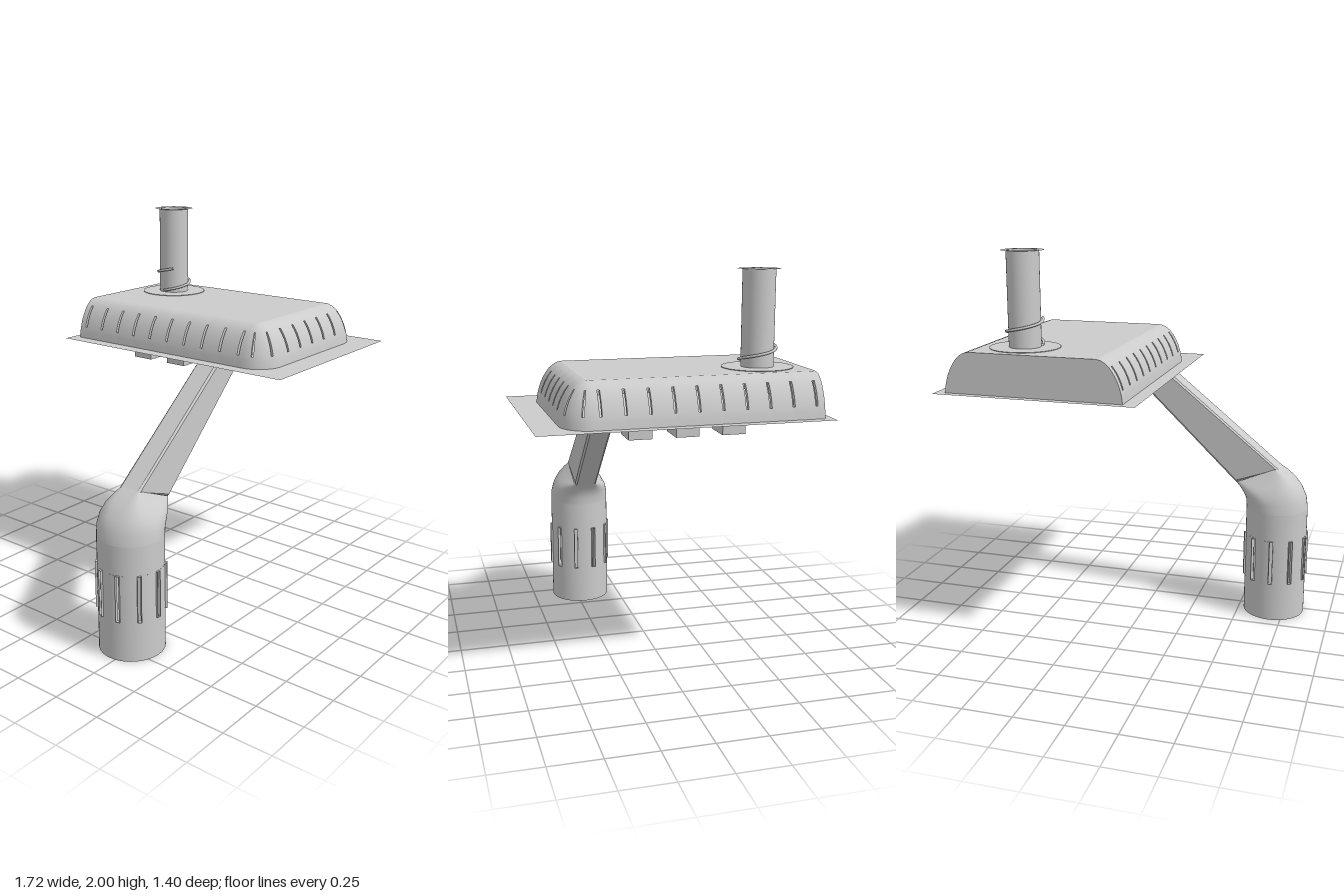
import * as THREE from 'three';

const mat = new THREE.MeshStandardMaterial({ color: 0xcccccc, side: THREE.DoubleSide });

function add(parent, name, geo, x = 0, y = 0, z = 0) {
  const mesh = new THREE.Mesh(geo, mat);
  mesh.name = name;
  mesh.position.set(x, y, z);
  parent.add(mesh);
  return mesh;
}

function meshFrom(pos, index) {
  const g = new THREE.BufferGeometry();
  g.setAttribute('position', new THREE.Float32BufferAttribute(pos, 3));
  g.setIndex(index);
  g.computeVertexNormals();
  return g;
}

const tube = (r, h, start = 0, len = Math.PI * 2, seg = 48) =>
  new THREE.CylinderGeometry(r, r, h, seg, 1, true, start, len);

// Hollow rectangular collar lining a slot, open along z
function slotFrame(w, h, depth) {
  const rect = (T, a, b) => new T([[-a, -b], [a, -b], [a, b], [-a, b]].map(p => new THREE.Vector2(...p)));
  const s = rect(THREE.Shape, w / 2, h / 2);
  s.holes.push(rect(THREE.Path, w / 2 - 0.002, h / 2 - 0.002));
  return new THREE.ExtrudeGeometry(s, { depth, bevelEnabled: false });
}

// Vertical pipe with ten see-through slots
function buildPost() {
  const post = new THREE.Group();
  post.name = 'post';
  post.position.set(-0.69, 0, 0.22);
  const R = 0.165, n = 10, step = Math.PI * 2 / n, half = 0.055;
  add(post, 'postLower', tube(R, 0.21), 0, 0.105, 0);
  add(post, 'postUpper', tube(R, 0.15), 0, 0.525, 0);
  for (let i = 0; i < n; i++) {
    const a = i * step;
    add(post, 'postWall', tube(R, 0.24, a + half, step - 2 * half, 6), 0, 0.33, 0);
    const f = add(post, 'slotCollar', slotFrame(0.021, 0.242, 0.022), Math.sin(a) * 0.153, 0.33, Math.cos(a) * 0.153);
    f.rotation.y = a;
  }
  return post;
}

// Elbow: round pipe blending into the narrow arm
function elbowGeometry() {
  const outer = [[-0.855, 0.6], [-0.847, 0.66], [-0.82, 0.715], [-0.78, 0.762], [-0.735, 0.798], [-0.69, 0.828]];
  const inner = [[-0.525, 0.6], [-0.523, 0.64], [-0.515, 0.67], [-0.503, 0.695], [-0.488, 0.717], [-0.47, 0.735]];
  const width = [0.165, 0.162, 0.15, 0.125, 0.092, 0.063];
  const power = [1, 0.95, 0.82, 0.62, 0.4, 0.2];
  const N = 48, pos = [], idx = [];
  const spow = (v, p) => Math.sign(v) * Math.pow(Math.abs(v) < 1e-9 ? 0 : Math.abs(v), p);
  outer.forEach(([ox, oy], k) => {
    const [ix, iy] = inner[k];
    for (let j = 0; j < N; j++) {
      const a = j / N * Math.PI * 2;
      const c = spow(Math.cos(a), power[k]), s = spow(Math.sin(a), power[k]);
      pos.push((ox + ix) / 2 + (ox - ix) / 2 * c, (oy + iy) / 2 + (oy - iy) / 2 * c, 0.22 + width[k] * s);
      if (k < outer.length - 1) {
        const A = k * N + j, B = k * N + (j + 1) % N;
        idx.push(A, B, B + N, A, B + N, A + N);
      }
    }
  });
  return meshFrom(pos, idx);
}

// Slanted arm with narrow chamfers
function armGeometry() {
  const s = new THREE.Shape([[-0.7, 0.82], [-0.47, 0.735], [0.08, 1.267], [0.08, 1.325], [-0.08, 1.325]]
    .map(p => new THREE.Vector2(...p)));
  return new THREE.ExtrudeGeometry(s, {
    depth: 0.104, bevelThickness: 0.01, bevelSize: 0.01, bevelOffset: -0.01, bevelSegments: 1
  });
}

// Rounded cover: profile swept round three sides, slots left open, flat back
function buildCover() {
  const cover = new THREE.Group();
  cover.name = 'cover';
  const R = 0.14, x0 = 0.05, x1 = 0.67, zf = 0.43, zb = -0.66, h = 0.006;
  const profile = [[0, 1.325], [0.004, 1.36], [0.01, 1.385], [0.019, 1.415], [0.032, 1.445], [0.046, 1.47],
    [0.064, 1.495], [0.085, 1.514], [0.105, 1.525], [0.125, 1.53]];
  const slotRow = i => i >= 2 && i < 6;

  // Stations: core point, outward angle, whether a slot starts here
  const st = [];
  const put = (x, z, a, slot = false) => st.push({ x, z, nx: Math.sin(a), nz: Math.cos(a), slot });
  const sideZ = Array.from({ length: 10 }, (_, i) => -0.62 + i * 0.1135);
  const frontX = [0.13, 0.245, 0.36, 0.475, 0.59];
  const corner = (x, from) => {
    for (let i = 0; i <= 12; i++) {
      const a = from - i * Math.PI / 24;
      if (i === 3 || i === 9) { put(x, zf, a + 0.045, true); put(x, zf, a - 0.045); }
      else put(x, zf, a);
    }
  };
  put(x1, zb, Math.PI / 2);
  for (const z of sideZ) { put(x1, z - h, Math.PI / 2, true); put(x1, z + h, Math.PI / 2); }
  corner(x1, Math.PI / 2);
  for (const x of [...frontX].reverse()) { put(x + h, zf, 0, true); put(x - h, zf, 0); }
  corner(x0, 0);
  for (const z of [...sideZ].reverse()) { put(x0, z + h, -Math.PI / 2, true); put(x0, z - h, -Math.PI / 2); }
  put(x0, zb, -Math.PI / 2);

  const P = profile.length, pos = [], idx = [], wallPos = [], wallIdx = [];
  const at = (s, d, y) => [s.x + s.nx * (R - d), y, s.z + s.nz * (R - d)];
  st.forEach((s, k) => {
    for (const [d, y] of profile) pos.push(...at(s, d, y));
    if (k === st.length - 1) return;
    for (let i = 0; i < P - 1; i++) {
      if (s.slot && slotRow(i)) {
        // Slot side walls
        for (const e of [s, st[k + 1]]) {
          const b = wallPos.length / 3;
          for (const [d, y] of [profile[i], profile[i + 1]]) wallPos.push(...at(e, d, y), ...at(e, d + 0.02, y - 0.008));
          wallIdx.push(b, b + 1, b + 3, b, b + 3, b + 2);
        }
        continue;
      }
      const a = k * P + i, b = a + P;
      idx.push(a, a + 1, b + 1, a, b + 1, b);
    }
  });
  add(cover, 'coverShell', meshFrom(pos, idx));
  add(cover, 'coverSlotWalls', meshFrom(wallPos, wallIdx));

  const [dTop, yTop] = profile[P - 1];
  const top = new THREE.Shape(st.map(s => { const p = at(s, dTop, 0); return new THREE.Vector2(p[0], -p[2]); }));
  add(cover, 'coverTop', new THREE.ShapeGeometry(top).rotateX(-Math.PI / 2), 0, yTop, 0);
  const back = new THREE.Shape([
    ...profile.map(([d, y]) => new THREE.Vector2(x0 - R + d, y)),
    ...[...profile].reverse().map(([d, y]) => new THREE.Vector2(x1 + R - d, y))
  ]);
  add(cover, 'coverBack', new THREE.ShapeGeometry(back).rotateY(Math.PI).scale(-1, 1, 1), 0, 0, zb);
  return cover;
}

// Chimney with rim, base disc and spiral wire
function buildChimney() {
  const g = new THREE.Group();
  g.name = 'chimney';
  g.position.set(0.475, 0, -0.445);
  add(g, 'chimneyPipe', tube(0.08, 0.47), 0, 1.765, 0);
  add(g, 'chimneyRim', new THREE.RingGeometry(0.07, 0.105, 48).rotateX(-Math.PI / 2), 0, 1.999, 0);
  add(g, 'baseDisc', new THREE.CylinderGeometry(0.175, 0.175, 0.004, 48), 0, 1.531, 0);
  const pts = [];
  for (let i = 0; i <= 40; i++) {
    const t = i / 40, a = Math.PI - t * Math.PI * 2.2;
    pts.push(new THREE.Vector3(Math.cos(a) * 0.09, 1.545 + 0.125 * t, Math.sin(a) * 0.09));
  }
  add(g, 'spiralWire', new THREE.TubeGeometry(new THREE.CatmullRomCurve3(pts), 80, 0.007, 8));
  // Damper knob and lever inside the pipe
  add(g, 'damperKnob', new THREE.CylinderGeometry(0.025, 0.025, 0.03, 20), 0, 1.545, 0);
  add(g, 'damperLever', new THREE.BoxGeometry(0.012, 0.01, 0.07), -0.02, 1.55, 0.035).rotation.y = -0.52;
  // Fastening hole and screws under the plate
  add(g, 'bottomRing', new THREE.TorusGeometry(0.02, 0.004, 8, 20).rotateX(Math.PI / 2), 0, 1.323, 0);
  for (let i = 0; i < 4; i++) {
    const a = Math.PI / 4 + i * Math.PI / 2;
    add(g, 'screw', new THREE.CylinderGeometry(0.008, 0.008, 0.008, 10), Math.cos(a) * 0.11, 1.322, Math.sin(a) * 0.11);
  }
  return g;
}

export function createModel() {
  const model = new THREE.Group();
  model.name = 'coveredTrayOnArm';
  model.add(buildPost(), buildCover(), buildChimney());
  add(model, 'elbow', elbowGeometry());
  add(model, 'arm', armGeometry(), 0, 0, 0.168);
  add(model, 'basePlate', new THREE.PlaneGeometry(1.02, 1.4).rotateX(-Math.PI / 2), 0.35, 1.325, 0);
  // Mounting lugs in two rows; the arm takes the sixth place
  for (const [x, z] of [[0.715, 0.22], [0.715, 0], [0.715, -0.22], [0.005, 0], [0.005, -0.22]])
    add(model, 'lug', new THREE.BoxGeometry(0.15, 0.055, 0.11), x, 1.2975, z);
  return model;
}
